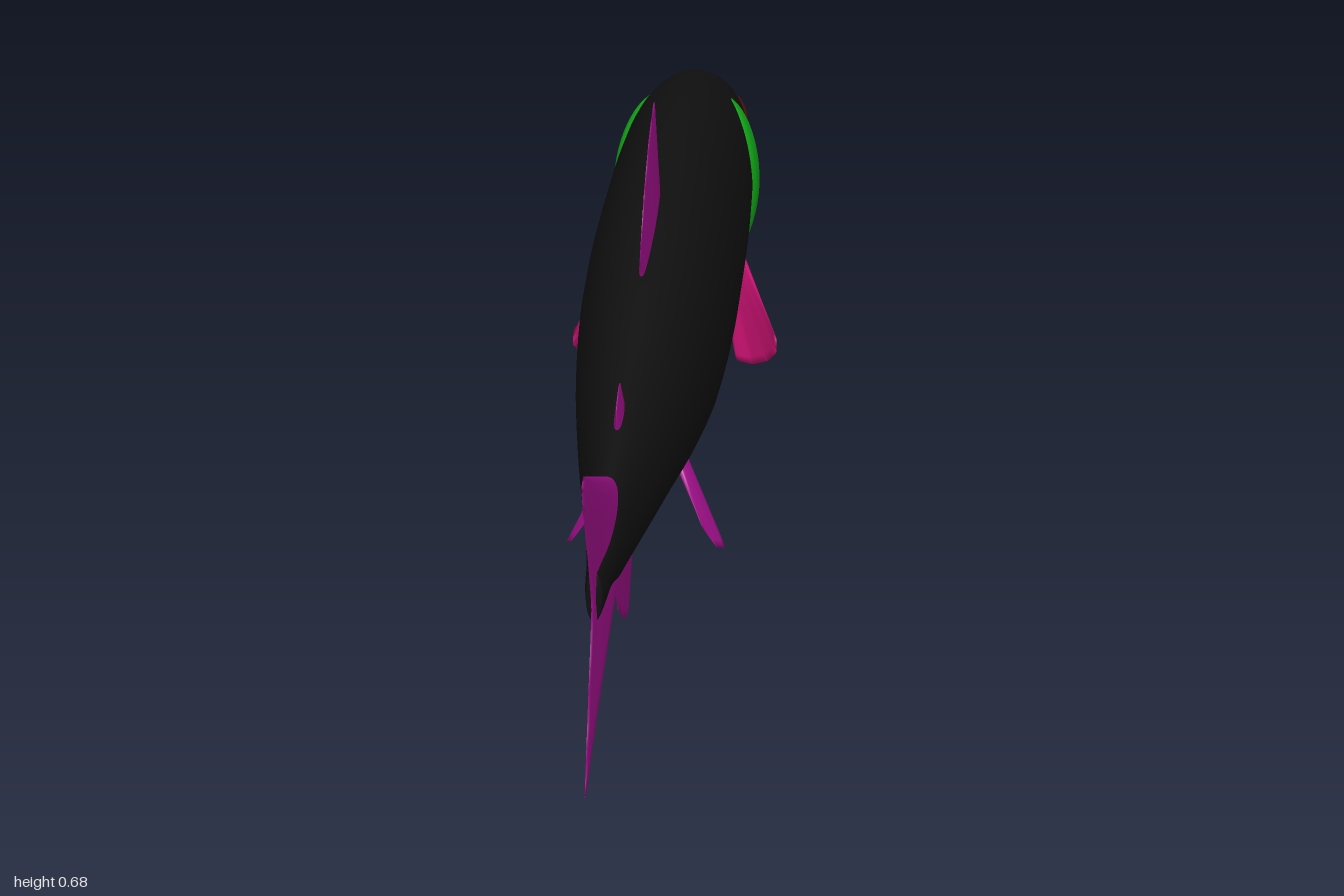
import * as THREE from 'three';
import { mergeVertices } from 'three/addons/utils/BufferGeometryUtils.js';

const mat = (name, color) =>
  new THREE.MeshStandardMaterial({ name, color, side: THREE.DoubleSide });

// Cross-sections along the length: z, widest height, half width, top, bottom
const BODY = [
  [-1.0, 0.31, 0.002, 0.312, 0.305], [-0.993, 0.31, 0.03, 0.338, 0.288], [-0.97, 0.31, 0.055, 0.366, 0.28],
  [-0.93, 0.31, 0.07, 0.392, 0.272], [-0.85, 0.31, 0.09, 0.427, 0.255], [-0.76, 0.3, 0.104, 0.456, 0.222],
  [-0.715, 0.3, 0.109, 0.467, 0.16], [-0.6, 0.3, 0.116, 0.49, 0.118], [-0.4, 0.295, 0.12, 0.511, 0.08],
  [-0.2, 0.293, 0.12, 0.52, 0.067], [0, 0.295, 0.115, 0.513, 0.08], [0.2, 0.3, 0.1, 0.482, 0.125],
  [0.4, 0.305, 0.076, 0.438, 0.175], [0.6, 0.305, 0.046, 0.398, 0.215], [0.7, 0.305, 0.029, 0.375, 0.232],
  [0.8, 0.306, 0.018, 0.346, 0.265], [0.872, 0.306, 0.011, 0.343, 0.268], [0.876, 0.306, 0.0005, 0.307, 0.305],
];
const JAW = [
  [-0.992, 0.278, 0.002, 0.28, 0.272], [-0.98, 0.272, 0.032, 0.281, 0.258], [-0.94, 0.258, 0.06, 0.274, 0.228],
  [-0.85, 0.24, 0.086, 0.257, 0.195], [-0.76, 0.218, 0.098, 0.23, 0.166], [-0.715, 0.205, 0.097, 0.21, 0.151],
  [-0.66, 0.19, 0.075, 0.2, 0.16],
];
const LINING = [
  [-0.988, 0.281, 0.002, 0.282, 0.28], [-0.975, 0.279, 0.042, 0.29, 0.27], [-0.93, 0.27, 0.06, 0.285, 0.255],
  [-0.84, 0.25, 0.08, 0.265, 0.235], [-0.74, 0.22, 0.09, 0.23, 0.2],
];

// Smooth interpolation between sections, without overshoot
function sectionAt(table, z) {
  const n = table.length;
  let i = 0;
  while (i < n - 2 && z > table[i + 1][0]) i++;
  const slope = (k, c) => (table[k + 1][c] - table[k][c]) / (table[k + 1][0] - table[k][0]);
  const tangent = (k, c) => {
    if (k === 0) return slope(0, c);
    if (k === n - 1) return slope(n - 2, c);
    const a = slope(k - 1, c), b = slope(k, c);
    return a * b <= 0 ? 0 : (2 * a * b) / (a + b);
  };
  const h = table[i + 1][0] - table[i][0];
  const t = THREE.MathUtils.clamp((z - table[i][0]) / h, 0, 1);
  return [1, 2, 3, 4].map((c) => {
    const p = table[i][c], q = table[i + 1][c];
    return p + (q - p) * t * t * (3 - 2 * t) +
      h * t * (1 - t) * ((1 - t) * tangent(i, c) - t * tangent(i + 1, c));
  });
}

// Surface from a rule at(u, v), with shared vertices for smooth shading
function surface(nu, nv, at) {
  const pos = [], index = [];
  for (let i = 0; i <= nu; i++)
    for (let j = 0; j <= nv; j++) pos.push(...at(i / nu, j / nv));
  for (let i = 0; i < nu; i++)
    for (let j = 0; j < nv; j++) {
      const a = i * (nv + 1) + j, b = a + nv + 1;
      index.push(a, a + 1, b, a + 1, b + 1, b);
    }
  let g = new THREE.BufferGeometry();
  g.setAttribute('position', new THREE.Float32BufferAttribute(pos, 3));
  g.setIndex(index);
  g = mergeVertices(g, 1e-5);
  g.computeVertexNormals();
  return g;
}

function loft(table, steps = 6) {
  const spans = table.length - 1;
  return surface(spans * steps, 48, (u, v) => {
    const s = u * spans, k = Math.min(Math.floor(s), spans - 1);
    const z = THREE.MathUtils.lerp(table[k][0], table[k + 1][0], s - k);
    const [cy, w, top, bottom] = sectionAt(table, z);
    const a = (v % 1) * Math.PI * 2, sn = Math.sin(a);
    return [w * Math.cos(a), cy + sn * (sn > 0 ? top - cy : cy - bottom), z];
  });
}

// Half width of the body at a given height and length
function bodyHalfWidth(y, z) {
  const [cy, w, top, bottom] = sectionAt(BODY, z);
  const t = (y - cy) / (y > cy ? top - cy : cy - bottom);
  return w * Math.sqrt(Math.max(0, 1 - t * t));
}

// Lens-shaped fin between a root line and an outer edge, thinning outwards
function fin(root, edge, thick) {
  const curve = (pts) => new THREE.CatmullRomCurve3(
    pts.map((p) => new THREE.Vector3(...p)), false, 'catmullrom', 0.25);
  const r = curve(root), e = curve(edge);
  const out = e.getPoint(0.5).sub(r.getPoint(0.5));
  const normal = r.getPoint(1).sub(r.getPoint(0)).cross(out).normalize();
  return surface(36, 24, (u, v) => {
    const side = v < 0.5 ? 1 : -1, d = 1 - Math.abs(2 * v - 1);
    const p = r.getPoint(u).lerp(e.getPoint(u), d);
    const t = thick * (1 - d) * Math.sqrt(Math.max(0, Math.sin(Math.PI * u)));
    return p.addScaledVector(normal, side * t).toArray();
  });
}

export function createModel() {
  const fish = new THREE.Group();
  fish.name = 'fish';
  const skin = mat('black skin', 0x101010);
  const finMat = mat('magenta fin', 0xa0108a);
  const pink = mat('crimson fin', 0xc0106c);
  const green = mat('green gill', 0x10a416);
  const red = mat('dark red', 0x561010);
  const add = (name, geometry, material) => {
    const m = new THREE.Mesh(geometry, material);
    m.name = name;
    fish.add(m);
    return m;
  };
  const mid = (pts) => pts.map(([y, z]) => [0, y, z]);

  // Body, jaw and mouth
  add('body', loft(BODY), skin);
  add('lowerJaw', loft(JAW), red);
  add('mouthLining', loft(LINING), finMat);

  // Fins on the centre line, given as height and length
  add('tailFin', fin(mid([[0.388, 0.69], [0.305, 0.69], [0.218, 0.69]]),
    mid([[0.535, 0.98], [0.528, 1], [0.495, 0.99], [0.4, 0.942], [0.305, 0.905],
      [0.205, 0.948], [0.11, 0.99], [0.08, 1], [0.073, 0.975]]), 0.02), finMat);
  add('dorsalFin', fin(mid([[0.48, -0.07], [0.45, 0.08], [0.455, 0.21]]),
    mid([[0.53, -0.075], [0.67, -0.005], [0.672, 0.035], [0.645, 0.1], [0.59, 0.175], [0.52, 0.235], [0.49, 0.22]]),
    0.012), finMat);
  add('adiposeFin', fin(mid([[0.39, 0.49], [0.37, 0.53], [0.38, 0.57]]),
    mid([[0.42, 0.5], [0.45, 0.525], [0.456, 0.55], [0.44, 0.58], [0.418, 0.583]]), 0.012), finMat);
  add('analFin', fin(mid([[0.2, 0.355], [0.24, 0.48], [0.225, 0.6]]),
    mid([[0.15, 0.36], [0.033, 0.42], [0.037, 0.445], [0.07, 0.51], [0.13, 0.585], [0.17, 0.61], [0.2, 0.61]]),
    0.012), finMat);

  // Paired parts on both sides
  for (const s of [1, -1]) {
    const side = s > 0 ? 'left' : 'right';
    const flip = (pts) => pts.map(([x, y, z]) => [s * x, y, z]);
    add(side + 'PectoralFin', fin(
      flip([[0.105, 0.185, -0.57], [0.095, 0.145, -0.56], [0.075, 0.105, -0.545]]),
      flip([[0.172, 0.118, -0.382], [0.173, 0.093, -0.378], [0.158, 0.066, -0.4],
        [0.13, 0.042, -0.435], [0.1, 0.036, -0.465], [0.09, 0.055, -0.51]]), 0.012), pink);
    add(side + 'PelvicFin', fin(
      flip([[0.045, 0.125, 0.06], [0.05, 0.118, 0.09], [0.05, 0.115, 0.12]]),
      flip([[0.075, 0.075, 0.085], [0.118, 0.004, 0.135], [0.122, 0.001, 0.155],
        [0.112, 0.015, 0.18], [0.09, 0.05, 0.185]]), 0.01), finMat);

    // Crescent gill cover swelling out of the body surface
    const rows = new THREE.CatmullRomCurve3([
      [-0.672, 0.434, -0.69], [-0.625, 0.405, -0.709], [-0.588, 0.35, -0.71], [-0.58, 0.28, -0.705],
      [-0.582, 0.21, -0.698], [-0.584, 0.175, -0.68], [-0.6, 0.158, -0.645],
    ].map((p) => new THREE.Vector3(...p)));
    add(side + 'GillCover', surface(28, 14, (u, v) => {
      const p = rows.getPoint(u), z = THREE.MathUtils.lerp(p.x, p.z, v);
      const swell = Math.sqrt(Math.max(0, Math.sin(Math.PI * v) * Math.sin(Math.PI * u)));
      return [s * (bodyHalfWidth(p.y, z) + 0.001 + 0.011 * swell), p.y, z];
    }), green);

    // Eye as a shallow dome on the head
    add(side + 'Eye', surface(8, 28, (u, v) => {
      const a = (v % 1) * Math.PI * 2;
      const y = 0.353 + 0.026 * u * Math.sin(a), z = -0.855 + 0.027 * u * Math.cos(a);
      return [s * (bodyHalfWidth(y, z) + 0.001 + 0.004 * Math.sqrt(1 - u * u)), y, z];
    }), red);
  }
  return fish;
}
